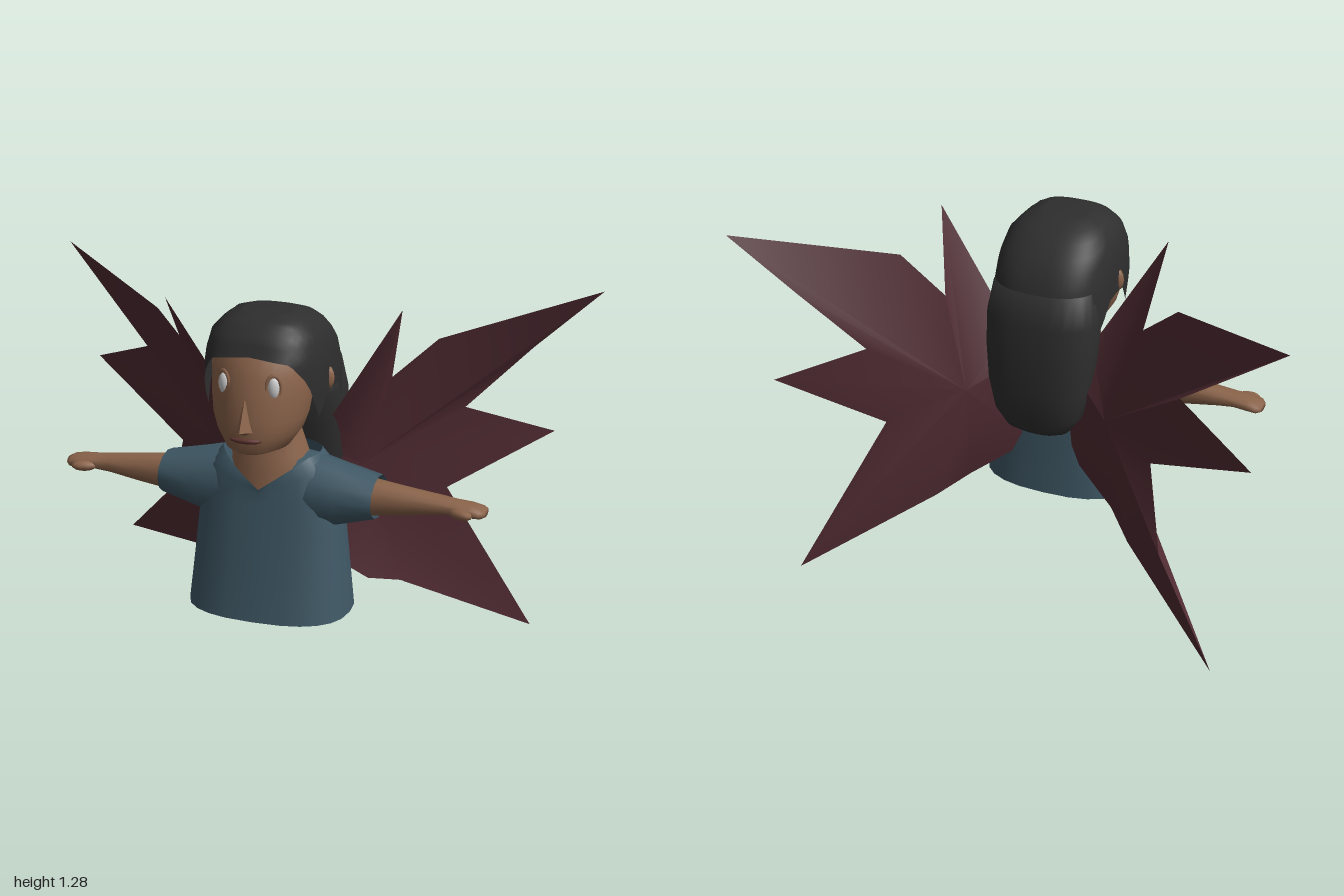
import * as THREE from 'three';
import { toCreasedNormals } from 'three/addons/utils/BufferGeometryUtils.js';
import { ConvexGeometry } from 'three/addons/geometries/ConvexGeometry.js';

const mat = (color) => new THREE.MeshStandardMaterial({ color, side: THREE.DoubleSide });
const SKIN = mat(0x8a634a), HAIR = mat(0x2e2e2e), SHIRT = mat(0x3f5865);
const WING = mat(0x4f2b32), EYE = mat(0xc8c8c4), LIP = mat(0x5e3430);
const CX = 0.03;   // body middle
const HX = 0.02;   // head middle

function add(group, name, geometry, material) {
  const mesh = new THREE.Mesh(geometry, material);
  mesh.name = name;
  group.add(mesh);
  return mesh;
}

// Skin between closed rings of points, with optional end caps
function loft(rings, capStart = false, capEnd = false) {
  const n = rings[0].length, pos = rings.flat(2), index = [];
  for (let i = 0; i < rings.length - 1; i++) {
    for (let j = 0; j < n; j++) {
      const a = i * n + j, b = i * n + (j + 1) % n;
      index.push(a, b, b + n, a, b + n, a + n);
    }
  }
  const cap = (r, flip) => {
    const c = pos.length / 3;
    for (let k = 0; k < 3; k++) pos.push(rings[r].reduce((s, p) => s + p[k], 0) / n);
    for (let j = 0; j < n; j++) {
      const a = r * n + j, b = r * n + (j + 1) % n;
      index.push(c, flip ? b : a, flip ? a : b);
    }
  };
  if (capStart) cap(0, true);
  if (capEnd) cap(rings.length - 1, false);
  const g = new THREE.BufferGeometry();
  g.setAttribute('position', new THREE.Float32BufferAttribute(pos, 3));
  g.setIndex(index);
  g.computeVertexNormals();
  return g;
}

const pw = (v, e) => Math.sign(v) * Math.pow(Math.abs(v), e);
const angles = (n) => Array.from({ length: n }, (_, i) => (i / n) * Math.PI * 2);
// Level ring: row = [y, halfWidth, zFront, zBack]
const around = (cx, [y, hw, zf, zb], a, e) =>
  [cx + hw * pw(Math.sin(a), e), y, (zf + zb) / 2 + ((zf - zb) / 2) * pw(Math.cos(a), e)];
const levels = (cx, rows, n, e) => rows.map((r) => angles(n).map((a) => around(cx, r, a, e)));
// Upright ring across a limb: row = [x, yLow, yHigh, zBack, zFront], side = +1 or -1
const limb = (side, rows, n) => rows.map(([x, y0, y1, z0, z1]) => angles(n).map((a) => [
  CX + side * x, (y0 + y1) / 2 + ((y1 - y0) / 2) * Math.cos(a),
  (z0 + z1) / 2 + side * ((z1 - z0) / 2) * Math.sin(a)]));

// Piecewise linear lookup in rows sorted by their first entry
function lookup(rows, t) {
  let i = 0;
  while (i < rows.length - 2 && t > rows[i + 1][0]) i++;
  const [a, b] = [rows[i], rows[i + 1]];
  const f = THREE.MathUtils.clamp((t - a[0]) / (b[0] - a[0]), 0, 1);
  return a.map((v, k) => v + (b[k] - v) * f);
}

function buildShirt(group) {
  const rows = [[0.25, 0.28, 0.45, 0.06], [0.42, 0.263, 0.422, 0.075], [0.56, 0.25, 0.4, 0.09],
    [0.66, 0.24, 0.385, 0.1], [0.75, 0.215, 0.378, 0.11], [0.803, 0.165, 0.355, 0.125]];
  const rings = levels(CX, rows, 24, 0.78);
  // V neckline dips at the front
  const dip = [0, 0, 0, 0.02, 0.075, 0.105];
  rings.forEach((ring, i) => ring.forEach((p) => {
    if (p[2] > 0.27) {
      const f = Math.max(0, 1 - Math.abs(p[0] - CX) / 0.15);
      p[1] -= dip[i] * f;
      if (i === 5) p[2] += 0.03 * f;
    }
  }));
  add(group, 'shirt', loft(rings), SHIRT);
  for (const s of [1, -1]) {
    add(group, 'sleeve', loft(limb(s, [[0.1, 0.56, 0.806, 0.13, 0.36], [0.17, 0.555, 0.797, 0.13, 0.365],
      [0.245, 0.565, 0.778, 0.14, 0.36], [0.375, 0.605, 0.748, 0.16, 0.347]], 12)), SHIRT);
  }
}

function buildArms(group) {
  for (const s of [1, -1]) {
    const arm = new THREE.Group();
    arm.name = s > 0 ? 'leftArm' : 'rightArm';
    add(arm, 'armAndHand', loft(limb(s, [[0.2, 0.61, 0.745, 0.19, 0.32], [0.37, 0.612, 0.738, 0.2, 0.312],
      [0.47, 0.626, 0.724, 0.207, 0.304], [0.58, 0.645, 0.71, 0.212, 0.298], [0.64, 0.652, 0.702, 0.214, 0.3],
      [0.69, 0.65, 0.698, 0.21, 0.305], [0.725, 0.65, 0.69, 0.21, 0.3], [0.74, 0.656, 0.682, 0.225, 0.28]], 12),
      false, true), SKIN);
    const thumb = add(arm, 'thumb', new THREE.SphereGeometry(1, 10, 8), SKIN);
    thumb.scale.set(0.045, 0.018, 0.022);
    thumb.position.set(CX + s * 0.665, 0.67, 0.3);
    thumb.rotation.y = -s * 0.35;
    group.add(arm);
  }
}

function buildHead(group) {
  const head = new THREE.Group();
  head.name = 'head';
  add(head, 'neck', loft(levels(CX - 0.005, [[0.66, 0.15, 0.37, 0.14], [0.75, 0.148, 0.365, 0.135],
    [0.8, 0.13, 0.355, 0.14], [0.89, 0.105, 0.345, 0.17]], 20, 1)), SKIN);
  add(head, 'face', loft(levels(HX, [[0.845, 0.07, 0.455, 0.25], [0.858, 0.105, 0.474, 0.21],
    [0.91, 0.14, 0.483, 0.17], [0.96, 0.157, 0.482, 0.155], [1.03, 0.167, 0.474, 0.14],
    [1.1, 0.17, 0.457, 0.13], [1.18, 0.158, 0.43, 0.12], [1.23, 0.1, 0.37, 0.16]], 28, 1), true, true), SKIN);
  const nose = [[0, 1.04, 0.474], [0, 0.94, 0.525], [0, 0.92, 0.485], [0.035, 0.928, 0.468],
    [-0.035, 0.928, 0.468], [0, 0.97, 0.45]].map(([x, y, z]) => new THREE.Vector3(HX + x, y, z));
  add(head, 'nose', new ConvexGeometry(nose), SKIN);
  const lips = add(head, 'lips', new THREE.SphereGeometry(1, 14, 8), LIP);
  lips.scale.set(0.055, 0.012, 0.022);
  lips.position.set(HX, 0.9, 0.468);
  for (const s of [1, -1]) {
    const eye = add(head, 'eye', new THREE.SphereGeometry(1, 14, 10), EYE);
    eye.scale.set(0.019, 0.036, 0.014);
    eye.position.set(HX + s * 0.085, 1.075, 0.437);
    eye.rotation.y = s * 0.3;
    const lid = add(head, 'eyelid', new THREE.TorusGeometry(0.024, 0.005, 6, 18), SKIN);
    lid.scale.y = 1.7;
    lid.position.set(HX + s * 0.085, 1.075, 0.437);
    lid.rotation.y = s * 0.45;
    const ear = add(head, 'ear', new THREE.SphereGeometry(1, 12, 8), SKIN);
    ear.scale.set(0.034, 0.046, 0.021);
    ear.position.set(HX + s * 0.185, 1.06, 0.225);
  }
  group.add(head);
}

function buildHair(group) {
  // Height of the hairline by angle in degrees from the front
  const line = [[0, 1.17], [35, 1.15], [55, 1.08], [72, 0.94], [82, 1.02], [95, 1.03],
    [105, 0.94], [125, 0.83], [180, 0.8]];
  const profile = [[0.8, 0.19, 0.41, -0.075], [0.92, 0.2, 0.44, -0.07], [1.05, 0.207, 0.455, -0.055],
    [1.15, 0.2, 0.448, -0.015], [1.22, 0.18, 0.415, 0.045], [1.265, 0.135, 0.37, 0.11], [1.282, 0.08, 0.32, 0.17]];
  const rings = [];
  for (let i = 0; i <= 10; i++) {
    const v = Math.sin((i / 10) * Math.PI / 2);
    rings.push(angles(56).map((a) => {
      const deg = THREE.MathUtils.radToDeg(a);
      const low = lookup(line, deg > 180 ? 360 - deg : deg)[1];
      return around(HX, lookup(profile, low + (1.282 - low) * v), a, 0.72);
    }));
  }
  add(group, 'hairCap', loft(rings, false, true), HAIR);
  // Long hair hanging down the back
  add(group, 'backHair', loft(levels(HX, [[0.54, 0.07, 0.03, -0.03], [0.56, 0.115, 0.06, -0.055],
    [0.62, 0.16, 0.09, -0.075], [0.72, 0.185, 0.12, -0.085], [0.85, 0.198, 0.15, -0.083],
    [0.97, 0.2, 0.17, -0.072], [1.08, 0.18, 0.16, -0.045]], 24, 0.8), true, true), HAIR);
}

// Jagged blade: an outline joined to a raised hub on each side
function buildWing(group, name, side, outline) {
  const front = [side * 0.26, 0.68, -0.02], back = [side * 0.26, 0.68, -0.075], pos = [];
  outline.forEach((p, i) => {
    const q = outline[(i + 1) % outline.length];
    const [a, b] = side > 0 ? [q, p] : [p, q];
    pos.push(...front, ...a, ...b, ...back, ...b, ...a);
  });
  const g = new THREE.BufferGeometry();
  g.setAttribute('position', new THREE.Float32BufferAttribute(pos, 3));
  add(group, name, toCreasedNormals(g, 0.7), WING);
}

export function createModel() {
  const model = new THREE.Group();
  model.name = 'wingedFigure';
  buildShirt(model);
  buildArms(model);
  buildHead(model);
  buildHair(model);
  buildWing(model, 'leftWing', 1, [[0.06, 0.8, 0.13], [0.17, 0.85, 0.11], [0.43, 1.275, 0.105],
    [0.36, 1.0, -0.02], [0.51, 1.14, -0.055], [0.99, 1.26, -0.385], [0.77, 1.06, -0.32], [0.56, 0.85, -0.23],
    [0.84, 0.745, -0.385], [0.51, 0.56, -0.2], [0.78, 0, -0.385], [0.38, 0.235, -0.09],
    [0.3, 0.28, 0.03], [0.1, 0.42, 0.11]]);
  buildWing(model, 'rightWing', -1, [[0, 0.8, 0.13], [-0.13, 0.85, 0.12], [-0.375, 1.26, 0.18],
    [-0.37, 1.02, -0.02], [-0.51, 1.14, -0.07], [-1, 1.25, -0.41], [-0.6, 0.94, -0.27], [-0.9, 0.82, -0.42],
    [-0.47, 0.62, -0.18], [-0.57, 0.38, -0.34], [-0.83, 0.11, -0.525], [-0.37, 0.25, -0.12],
    [-0.25, 0.28, 0.02], [-0.04, 0.42, 0.11]]);
  return model;
}
